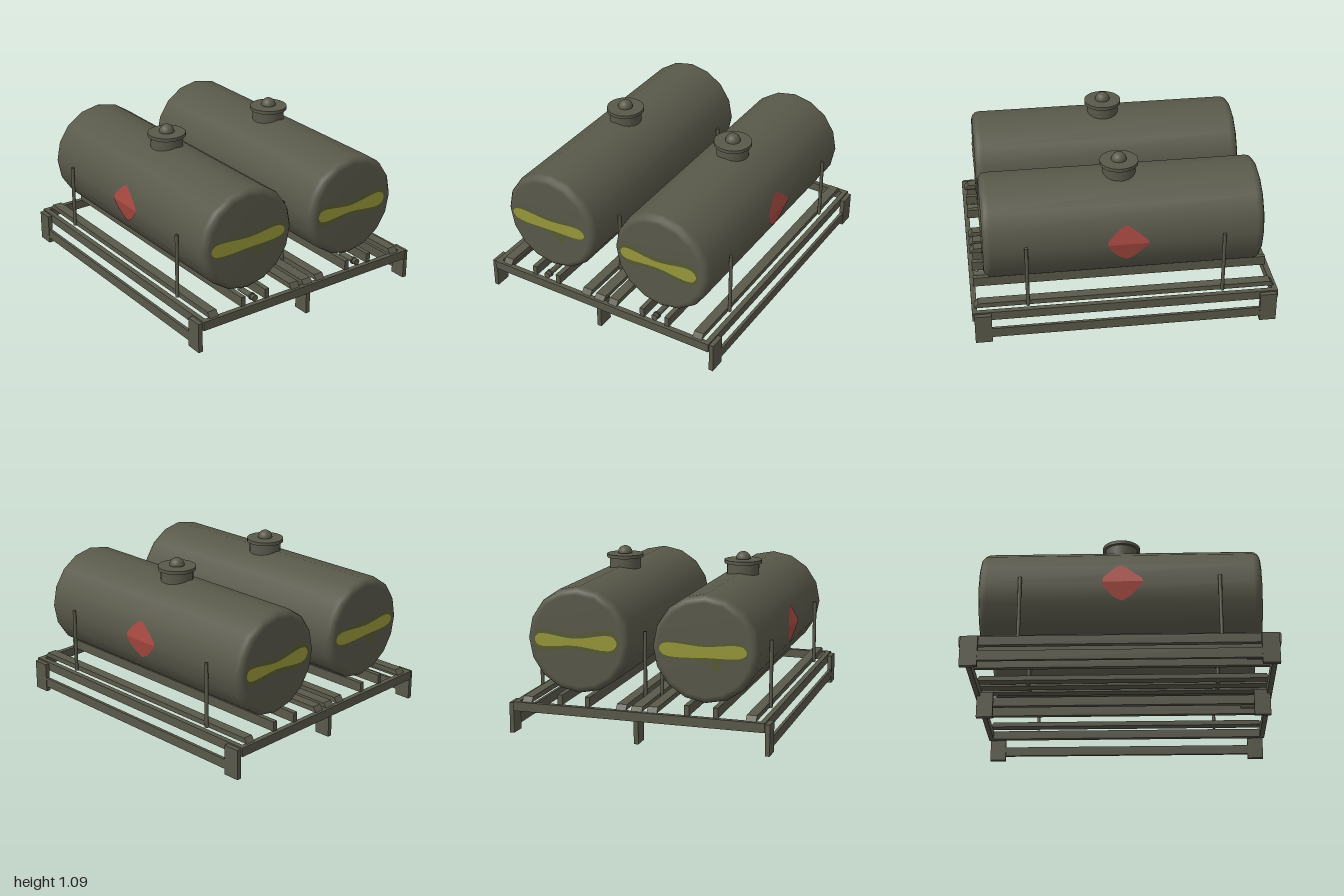
import * as THREE from 'three';

const paint = (name, color) => {
  const m = new THREE.MeshStandardMaterial({ color });
  m.name = name;
  return m;
};

const TX = 0.418, TY = 0.613, R = 0.345, END = 0.905;

export function createModel() {
  const root = new THREE.Group();
  root.name = 'twinTankRack';
  const olive = paint('olive drab', 0x58584a);
  const yellow = paint('faded yellow', 0x97973a);
  const smudge = paint('yellow overspray', 0x565a33);
  const red = paint('faded red', 0xa84a42);
  red.side = THREE.DoubleSide;

  const add = (parent, name, geo, mat = olive, x = 0, y = 0, z = 0) => {
    const m = new THREE.Mesh(geo, mat);
    m.name = name;
    m.position.set(x, y, z);
    parent.add(m);
    return m;
  };
  // box from its minimum and maximum corners
  const box = (parent, name, x0, x1, y0, y1, z0, z1) =>
    add(parent, name, new THREE.BoxGeometry(x1 - x0, y1 - y0, z1 - z0), olive,
      (x0 + x1) / 2, (y0 + y1) / 2, (z0 + z1) / 2);
  const lathe = (pts, n) => new THREE.LatheGeometry(pts.map(p => new THREE.Vector2(...p)), n);

  // closed soft outline as a flat painted patch
  const patch = pts => {
    const c = new THREE.CatmullRomCurve3(pts.map(([x, y]) => new THREE.Vector3(x, y, 0)), true);
    return new THREE.ShapeGeometry(new THREE.Shape(c.getPoints(48).map(p => new THREE.Vector2(p.x, p.y))));
  };

  // ---- base frame ----
  const frame = new THREE.Group();
  frame.name = 'frame';
  root.add(frame);
  for (const s of [-1, 1]) {
    box(frame, 'endBeam', -0.828, 0.828, 0.15, 0.21, s * 0.98 - 0.017, s * 0.98 + 0.017);
    box(frame, 'sideBeam', s * 0.811 - 0.017, s * 0.811 + 0.017, 0.15, 0.21, -0.963, 0.963);
    box(frame, 'lowerSideRail', s * 0.845 - 0.01, s * 0.845 + 0.01, 0.035, 0.1, -0.88, 0.88);
    for (const x of [-0.843, 0, 0.843])
      box(frame, 'leg', x - 0.015, x + 0.015, 0, x ? 0.2 : 0.18, s * 0.93 - 0.055, s * 0.93 + 0.055);
  }

  // wide runners with sloped ends
  const runner = (x, w, top) => {
    const s = new THREE.Shape();
    s.moveTo(-0.98, 0.21);
    s.lineTo(0.98, 0.21);
    s.lineTo(0.955, top);
    s.lineTo(-0.955, top);
    s.closePath();
    const g = new THREE.ExtrudeGeometry(s, { depth: w, bevelEnabled: false });
    g.translate(0, 0, -w / 2);
    g.rotateY(Math.PI / 2);
    add(frame, 'runner', g, olive, x);
  };
  runner(0, 0.072, 0.237);
  for (const s of [-1, 1]) {
    runner(s * 0.737, 0.066, 0.243);
    runner(s * 0.102, 0.066, 0.243);
    // tall narrow bearers under each tank
    for (const x of [0.327, 0.512])
      box(frame, 'bearer', s * x - 0.016, s * x + 0.016, 0.21, 0.275, -0.975, 0.975);
    // upright retaining posts
    for (const x of [0.776, 0.057]) for (const z of [-0.635, 0.635])
      add(frame, 'post', new THREE.CylinderGeometry(0.012, 0.012, 0.435, 10), olive, s * x, 0.4275, z);
  }

  // ---- painted stripe outlines, relative to tank centre ----
  const stripes = {
    '-1': [[-0.29, 0], [-0.262, 0.032], [0, 0.024], [0.24, 0.038], [0.272, 0.003], [0.25, -0.029], [0.02, -0.045], [-0.262, -0.041]],
    '1': [[-0.285, 0], [-0.262, 0.035], [-0.02, 0.017], [0.235, 0.045], [0.267, 0.003], [0.235, -0.043], [-0.02, -0.029], [-0.262, -0.038]],
  };
  const halos = {
    '-1': [[-0.292, 0], [-0.265, 0.045], [0, 0.042], [0.24, 0.055], [0.282, 0], [0.25, -0.045], [0.12, -0.065], [0.085, -0.14], [0.03, -0.075], [-0.265, -0.055]],
    '1': [[-0.293, 0], [-0.27, 0.06], [-0.02, 0.045], [0.235, 0.075], [0.285, 0.003], [0.235, -0.07], [-0.02, -0.055], [-0.265, -0.07]],
  };
  // diamond outline as [z, y], passing through the tank's mid-height on both sides
  const diamond = [[-0.01, 0.13], [-0.045, 0.106], [-0.14, 0.025], [-0.151, 0], [-0.14, -0.02], [-0.06, -0.1],
    [-0.01, -0.125], [0.04, -0.1], [0.1, -0.04], [0.115, 0], [0.105, 0.035], [0.035, 0.106]];

  // ---- tanks ----
  for (const s of [-1, 1]) {
    const tank = new THREE.Group();
    tank.name = s > 0 ? 'leftTank' : 'rightTank';
    tank.position.set(s * TX, TY, 0);
    root.add(tank);

    const half = [[0, END], [0.298, END], [0.322, END - 0.008], [0.338, END - 0.025], [R, END - 0.05]];
    const profile = [...half.map(([r, y]) => [r, -y]), ...half.reverse()];
    add(tank, 'shell', lathe(profile, 16).rotateX(Math.PI / 2));

    // filler neck, lid and dome
    add(tank, 'neck', new THREE.CylinderGeometry(0.107, 0.107, 0.12, 24), olive, 0, 0.345, 0);
    add(tank, 'lid', new THREE.CylinderGeometry(0.125, 0.125, 0.023, 24), olive, 0, 0.411, 0);
    add(tank, 'lidDome', new THREE.SphereGeometry(0.05, 20, 8, 0, Math.PI * 2, 0, Math.PI / 2), olive, 0, 0.427, 0);

    // drain outlet below the front end
    const pipe = (name, r, len, z) =>
      add(tank, name, new THREE.CylinderGeometry(r, r, len, 12).rotateX(Math.PI / 2), olive, 0, -0.378, z);
    pipe('drainPipe', 0.018, 0.15, 0.885);
    pipe('drainCollar', 0.025, 0.012, 0.937);
    pipe('drainCap', 0.022, 0.02, 0.962);
    add(tank, 'drainRiser', new THREE.CylinderGeometry(0.014, 0.014, 0.06, 10), olive, 0, -0.348, 0.825);

    // stripes on both ends
    for (const e of [1, -1]) {
      const end = new THREE.Group();
      end.name = e > 0 ? 'frontMarking' : 'backMarking';
      end.rotation.y = e > 0 ? 0 : Math.PI;
      tank.add(end);
      add(end, 'stripeOverspray', patch(halos[s]), smudge, 0, 0, END + 0.002);
      add(end, 'stripe', patch(stripes[s]), yellow, 0, 0, END + 0.005);
    }

    // diamond folded over the two outer facets of the shell
    const onShell = ([z, y]) => [s * (R + 0.004 - Math.abs(y) * Math.tan(Math.PI / 16)), y, s * z];
    const tri = [];
    diamond.forEach((p, i) => {
      const q = diamond[(i + 1) % diamond.length];
      tri.push(...onShell([0, 0]), ...onShell(q), ...onShell(p));
    });
    // outline runs clockwise seen from outside, so reversed corners face out
    const g = new THREE.BufferGeometry();
    for (let i = 0; i < tri.length; i += 9) {
      const [a, b, c] = [0, 3, 6].map(k => new THREE.Vector3(...tri.slice(i + k, i + k + 3)));
      const n = b.clone().sub(a).cross(c.clone().sub(a));
      if (n.x * s < 0) tri.splice(i + 3, 6, ...c.toArray(), ...b.toArray());
    }
    g.setAttribute('position', new THREE.Float32BufferAttribute(tri, 3));
    g.computeVertexNormals();
    add(tank, 'hazardDiamond', g, red);
  }
  return root;
}
